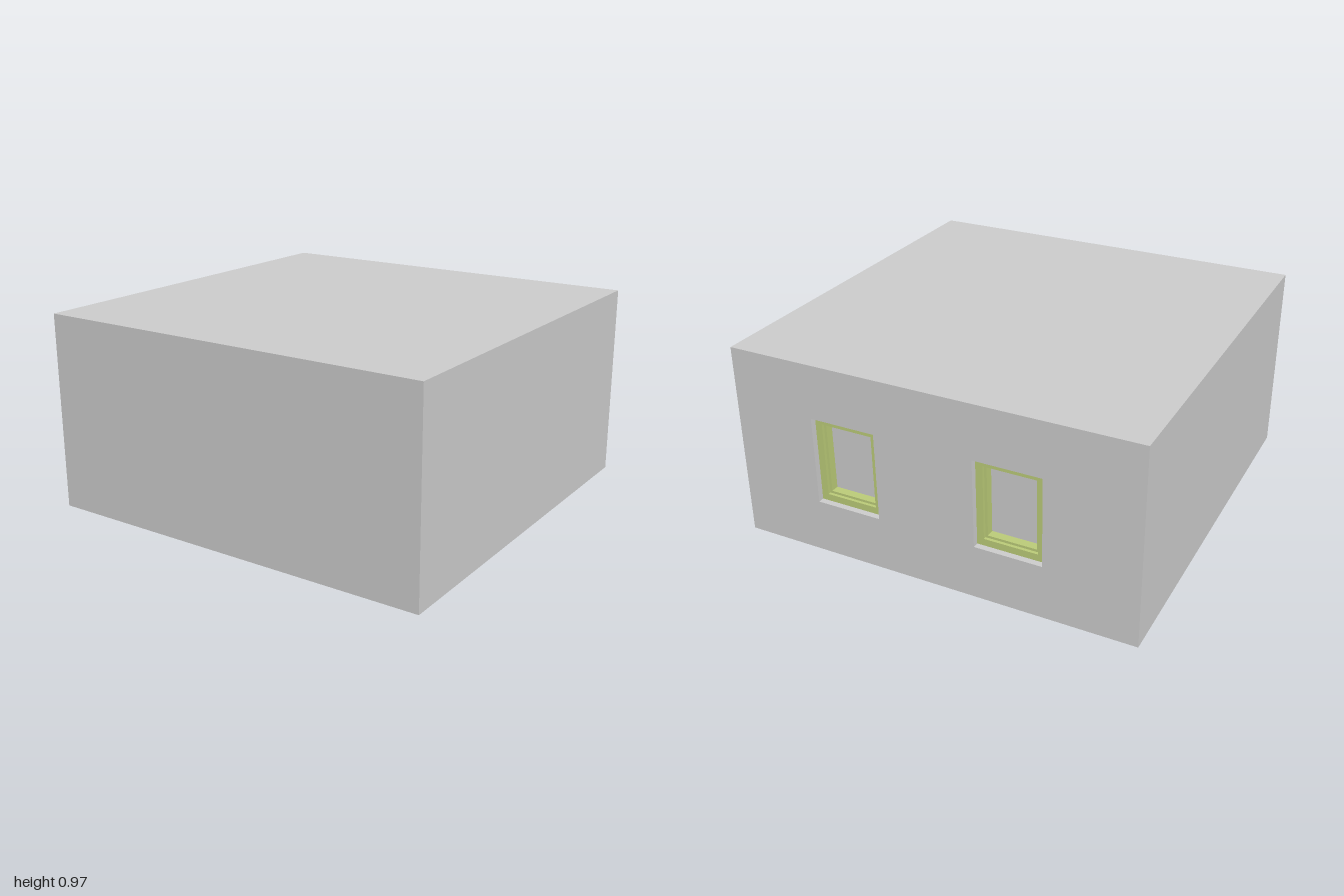
import * as THREE from 'three';

const W = 2, H = 0.97, BACK = -0.99, FRONT = 0.99, WALL = 0.1;
const INNER = BACK + WALL;
const WIN_W = 0.328, WIN_H = 0.436, WIN_Y = 0.485;
const WIN_X = [0.426, -0.389];

const wallMat = new THREE.MeshStandardMaterial({ color: 0xcccccc });
const frameMat = new THREE.MeshStandardMaterial({ color: 0xbbcb78 });
const glassMat = new THREE.MeshStandardMaterial({ color: 0xdadada });

// Closed rectangle centred on (cx, cy)
function rect(w, h, cx = 0, cy = 0, Type = THREE.Shape) {
  const p = new Type();
  p.moveTo(cx - w / 2, cy - h / 2);
  p.lineTo(cx + w / 2, cy - h / 2);
  p.lineTo(cx + w / 2, cy + h / 2);
  p.lineTo(cx - w / 2, cy + h / 2);
  p.closePath();
  return p;
}

function extrude(shape, depth) {
  return new THREE.ExtrudeGeometry(shape, { depth, bevelEnabled: false });
}

function addMesh(parent, name, geometry, material, x, y, z) {
  const mesh = new THREE.Mesh(geometry, material);
  mesh.name = name;
  mesh.position.set(x, y, z);
  parent.add(mesh);
  return mesh;
}

// Rectangular ring whose border runs from inset a to inset b
function ring(a, b, depth) {
  const shape = rect(WIN_W - 2 * a, WIN_H - 2 * a);
  shape.holes.push(rect(WIN_W - 2 * b, WIN_H - 2 * b, 0, 0, THREE.Path));
  return extrude(shape, depth);
}

// Recessed window: stepped frame around a pane
function createWindow() {
  const win = new THREE.Group();
  win.name = 'window';
  const outerZ = BACK + 0.03, sashZ = BACK + 0.045;
  addMesh(win, 'outerFrame', ring(0, 0.034, INNER - outerZ), frameMat, 0, 0, outerZ);
  addMesh(win, 'sash', ring(0.034, 0.046, INNER - sashZ), frameMat, 0, 0, sashZ);
  const pane = new THREE.BoxGeometry(WIN_W - 0.092, WIN_H - 0.092, 0.01);
  addMesh(win, 'pane', pane, glassMat, 0, 0, INNER - 0.01);
  return win;
}

export function createModel() {
  const model = new THREE.Group();
  model.name = 'building';

  // Main block
  const depth = FRONT - INNER;
  addMesh(model, 'mainBlock', new THREE.BoxGeometry(W, H, depth), wallMat,
    0, H / 2, INNER + depth / 2);

  // Back wall with window openings
  const wall = rect(W, H, 0, H / 2);
  for (const x of WIN_X) wall.holes.push(rect(WIN_W, WIN_H, x, WIN_Y, THREE.Path));
  addMesh(model, 'backWall', extrude(wall, WALL), wallMat, 0, 0, BACK);

  // Windows
  for (const x of WIN_X) {
    const win = createWindow();
    win.position.set(x, WIN_Y, 0);
    model.add(win);
  }
  return model;
}
